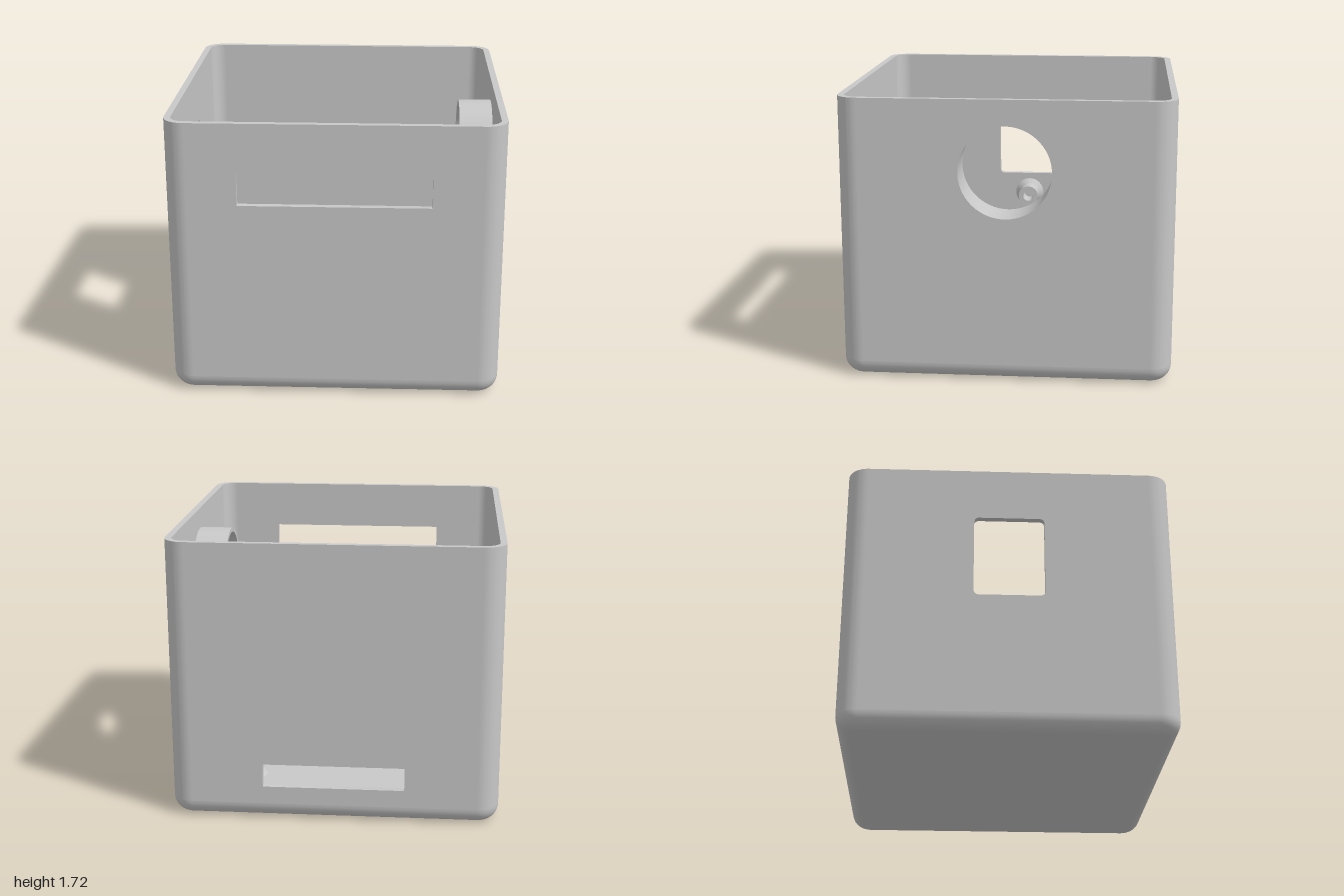
import * as THREE from 'three';
import { toCreasedNormals } from 'three/addons/utils/BufferGeometryUtils.js';

const H = 1.72, T = 0.04, R = 0.13, FILLET = 0.1;
const CREASE = 0.5;

export function createModel() {
  const group = new THREE.Group();
  const grey = new THREE.MeshStandardMaterial({ color: 0xc8c8c8 });
  grey.name = 'light grey';

  const add = (name, geometry) => {
    const mesh = new THREE.Mesh(toCreasedNormals(geometry, CREASE), grey);
    mesh.name = name;
    group.add(mesh);
    return mesh;
  };
  const extrude = (shape, depth, curveSegments) =>
    new THREE.ExtrudeGeometry(shape, { depth, bevelEnabled: false, curveSegments });

  // Rectangular hole with rounded corners, centred on x = 0
  const slot = (half, y0, y1, r) => {
    const p = new THREE.Path();
    p.moveTo(-half + r, y0);
    p.lineTo(half - r, y0);
    p.absarc(half - r, y0 + r, r, -Math.PI / 2, 0);
    p.lineTo(half, y1 - r);
    p.absarc(half - r, y1 - r, r, 0, Math.PI / 2);
    p.lineTo(-half + r, y1);
    p.absarc(-half + r, y1 - r, r, Math.PI / 2, Math.PI);
    p.lineTo(-half, y0 + r);
    p.absarc(-half + r, y0 + r, r, Math.PI, Math.PI * 1.5);
    return p;
  };
  const circle = (r, y) => new THREE.Path().absarc(0, y, r, 0, Math.PI * 2, true);

  // Four walls, each with its own opening
  const portY = 1.287, portR = 0.277;
  const walls = [
    ['frontWall', 0, slot(0.572, 1.22, 1.422, 0.004), 2],
    ['portWall', Math.PI / 2, circle(portR, portY), 72],
    ['backWall', Math.PI, slot(0.43, 0.21, 0.354, 0.004), 2],
    ['windowWall', -Math.PI / 2, slot(0.215, 0.855, 1.385, 0.03), 8],
  ];
  for (const [name, turn, hole, segments] of walls) {
    const w = 1 - R;
    const shape = new THREE.Shape([[-w, FILLET], [w, FILLET], [w, H], [-w, H]]
      .map(([x, y]) => new THREE.Vector2(x, y)));
    shape.holes.push(hole);
    const g = extrude(shape, T, segments);
    g.translate(0, 0, 1 - T);
    g.rotateY(turn);
    add(name, g);
  }

  // Rounded vertical corners
  for (let i = 0; i < 4; i++) {
    const s = new THREE.Shape();
    s.absarc(0, 0, R, 0, Math.PI / 2, false);
    s.absarc(0, 0, R - T, Math.PI / 2, 0, true);
    const g = extrude(s, H - FILLET, 12);
    g.rotateX(-Math.PI / 2);
    g.translate(1 - R, FILLET, -(1 - R));
    g.rotateY(i * Math.PI / 2);
    add('corner', g);
  }

  // Base: outer fillet with underside, inner chamfer with floor
  const outer = [];
  for (let i = 0; i <= 10; i++) {
    const a = (i / 10) * Math.PI / 2;
    const inset = FILLET * (1 - Math.cos(a));
    outer.push([1 - inset, R - inset, FILLET * (1 - Math.sin(a))]);
  }
  outer.push([0, 0, 0]);
  add('baseOutside', loft(outer));
  add('baseInside', loft([[0, 0, T], [0.9, 0.075, T], [1 - T, R - T, FILLET]]));

  // Collar around the round port
  const ring = new THREE.Shape().absarc(0, portY, 0.304, 0, Math.PI * 2, false);
  ring.holes.push(circle(portR, portY));
  const collar = extrude(ring, 0.206, 72);
  collar.translate(0, 0, 0.754);
  collar.rotateY(Math.PI / 2);
  add('portCollar', collar);

  // Hollow screw posts with a flared foot
  const post = (name, foot, r, bore, flare, height) => add(name, new THREE.LatheGeometry([
    [foot, 0], [r, flare], [r, height], [bore, height], [bore, 0.01], [0, 0.01],
  ].map(([x, y]) => new THREE.Vector2(x, y)), 40));
  for (const [x, z] of [[0.605, -0.385], [-0.62, 0.3]]) {
    post('floorPost', 0.118, 0.085, 0.048, 0.035, 0.2).position.set(x, T, z);
  }
  const peg = post('wallPost', 0.1, 0.07, 0.037, 0.03, 0.142);
  peg.rotation.z = -Math.PI / 2;
  peg.position.set(-1 + T, 0.715, 0);

  return group;
}

// Skin through rounded squares given as [half width, corner radius, y]
function loft(sections) {
  const steps = 12, n = 4 * (steps + 1), pos = [], index = [];
  for (const [half, r, y] of sections) {
    for (let q = 0; q < 4; q++) {
      for (let k = 0; k <= steps; k++) {
        const a = (q + k / steps) * Math.PI / 2;
        const cx = (q === 0 || q === 3 ? 1 : -1) * (half - r);
        const cz = (q < 2 ? 1 : -1) * (half - r);
        pos.push(cx + r * Math.cos(a), y, cz + r * Math.sin(a));
      }
    }
  }
  for (let i = 0; i < sections.length - 1; i++) {
    for (let j = 0; j < n; j++) {
      const a = i * n + j, b = i * n + (j + 1) % n;
      if (sections[i][0] > 0) index.push(a, b, a + n);
      if (sections[i + 1][0] > 0) index.push(b, b + n, a + n);
    }
  }
  const g = new THREE.BufferGeometry();
  g.setAttribute('position', new THREE.Float32BufferAttribute(pos, 3));
  g.setIndex(index);
  return g;
}
